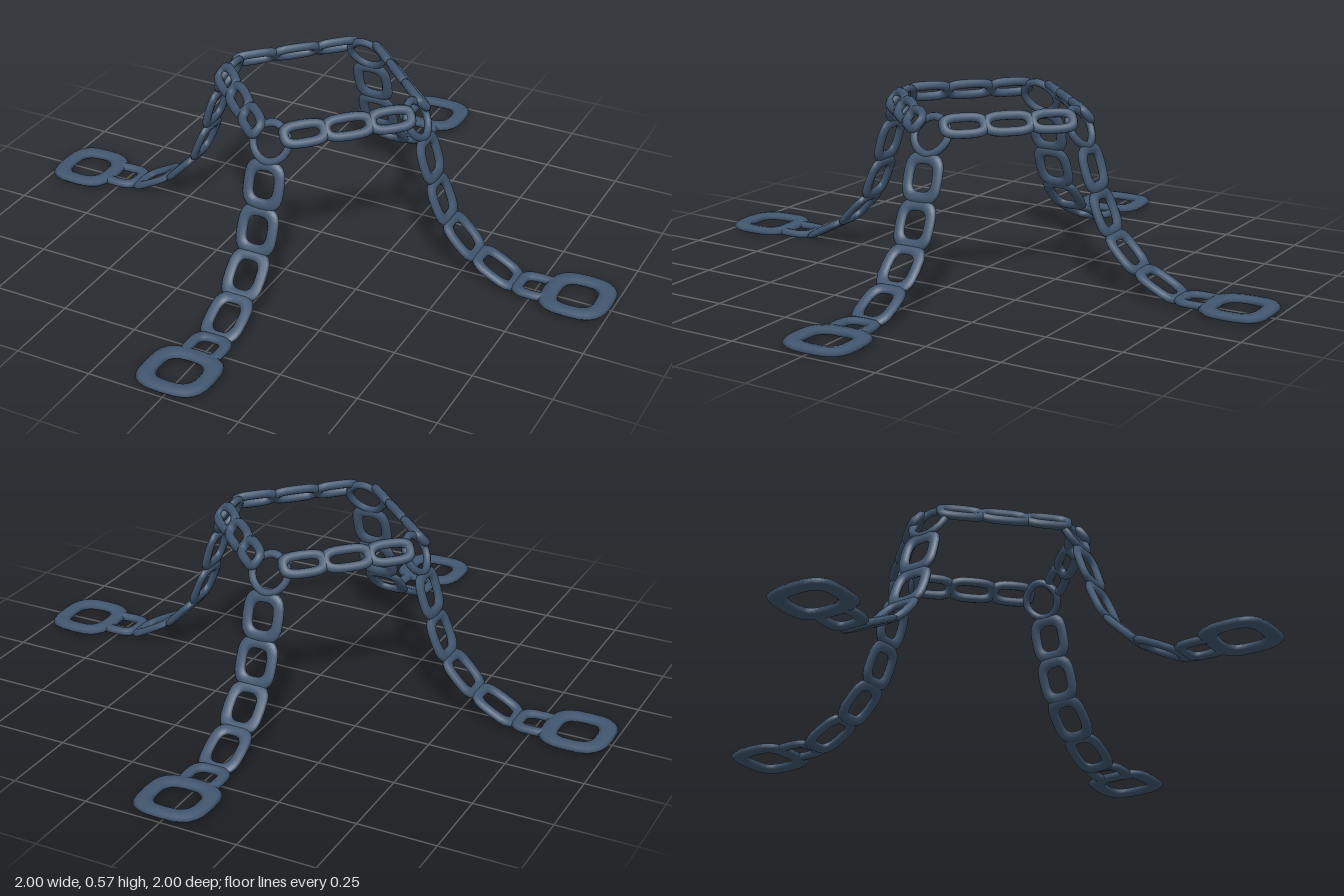
import * as THREE from 'three';
import { mergeVertices } from 'three/addons/utils/BufferGeometryUtils.js';

const steel = new THREE.MeshStandardMaterial({ color: 0x41566f });

// Flat rounded ring: length along x, width along y, band and thickness of the bar.
// Power 2 is an ellipse; a higher power is squarer.
function ringGeometry(length, width, band, thickness, power) {
  let g = new THREE.TorusGeometry(1, 0.5, 8, 24);
  g.deleteAttribute('normal');
  g.deleteAttribute('uv');
  g = mergeVertices(g, 1e-4);
  const p = g.attributes.position;
  const bend = (v) => Math.sign(v) * Math.pow(Math.abs(v), 2 / power);
  for (let i = 0; i < p.count; i++) {
    const a = Math.atan2(p.getY(i), p.getX(i));
    const inset = (Math.hypot(p.getX(i), p.getY(i)) - 1.5) * band;
    p.setXYZ(i,
      bend(Math.cos(a)) * (length / 2 + inset),
      bend(Math.sin(a)) * (width / 2 + inset),
      p.getZ(i) * thickness);
  }
  g.computeVertexNormals();
  return g;
}

// Link whose outer ends lie at a and b, with its width along side
function link(name, a, b, side, { width, band, thickness, power }) {
  const dir = b.clone().sub(a);
  const mesh = new THREE.Mesh(ringGeometry(dir.length(), width, band, thickness, power), steel);
  mesh.name = name;
  dir.normalize();
  const normal = dir.clone().cross(side).normalize();
  const across = normal.clone().cross(dir);
  mesh.quaternion.setFromRotationMatrix(new THREE.Matrix4().makeBasis(dir, across, normal));
  mesh.position.copy(a).add(b).multiplyScalar(0.5);
  return mesh;
}

// One hanging chain, reaching out along +x; the foot link sits slightly off centre
function createArm(footShift) {
  const arm = new THREE.Group();
  const z = new THREE.Vector3(0, 0, 1);
  const v = (x, y) => new THREE.Vector3(x, y, 0);

  arm.add(link('cornerRing', v(0.298, 0.576), v(0.366, 0.446), z,
    { width: 0.146, band: 0.026, thickness: 0.024, power: 1.85 }));

  // outer ends of each link: [r, y, r, y]
  const ends = [
    [0.356, 0.464, 0.404, 0.312],
    [0.395, 0.326, 0.457, 0.178],
    [0.446, 0.196, 0.562, 0.076],
    [0.546, 0.093, 0.7, 0.012],
    [0.68, 0.022, 0.828, 0.022],
  ];
  ends.forEach(([r0, y0, r1, y1], i) => {
    arm.add(link('armLink' + (i + 1), v(r0, y0), v(r1, y1), z,
      { width: 0.14, band: 0.037, thickness: 0.024, power: 3.2 }));
  });

  const foot = link('footLink', v(0.774, 0.023), v(1, 0.023), z,
    { width: 0.238, band: 0.056, thickness: 0.025, power: 3 });
  foot.position.z = footShift;
  arm.add(foot);
  return arm;
}

// One side of the upper square, running from the +x corner to the +z corner
function createSide() {
  const side = new THREE.Group();
  const start = new THREE.Vector3(0.342, 0.542, 0.034);
  const end = new THREE.Vector3(0.034, 0.542, 0.342);
  const slope = new THREE.Vector3(0.46, -0.76, 0.46); // outward and down
  const count = 3, overlap = 0.028;
  for (let i = 0; i < count; i++) {
    const a = start.clone().lerp(end, Math.max(0, i / count - overlap));
    const b = start.clone().lerp(end, Math.min(1, (i + 1) / count + overlap));
    side.add(link('sideLink' + (i + 1), a, b, slope,
      { width: 0.088, band: 0.031, thickness: 0.029, power: 3 }));
  }
  return side;
}

export function createModel() {
  const model = new THREE.Group();
  model.name = 'chainHarness';
  const places = ['left', 'back', 'right', 'front'];
  places.forEach((place, i) => {
    const arm = createArm(i % 2 ? 0.008 : -0.007);
    arm.name = place + 'Arm';
    const side = createSide();
    side.name = place + 'SquareSide';
    arm.rotation.y = side.rotation.y = i * Math.PI / 2;
    model.add(arm, side);
  });
  return model;
}
